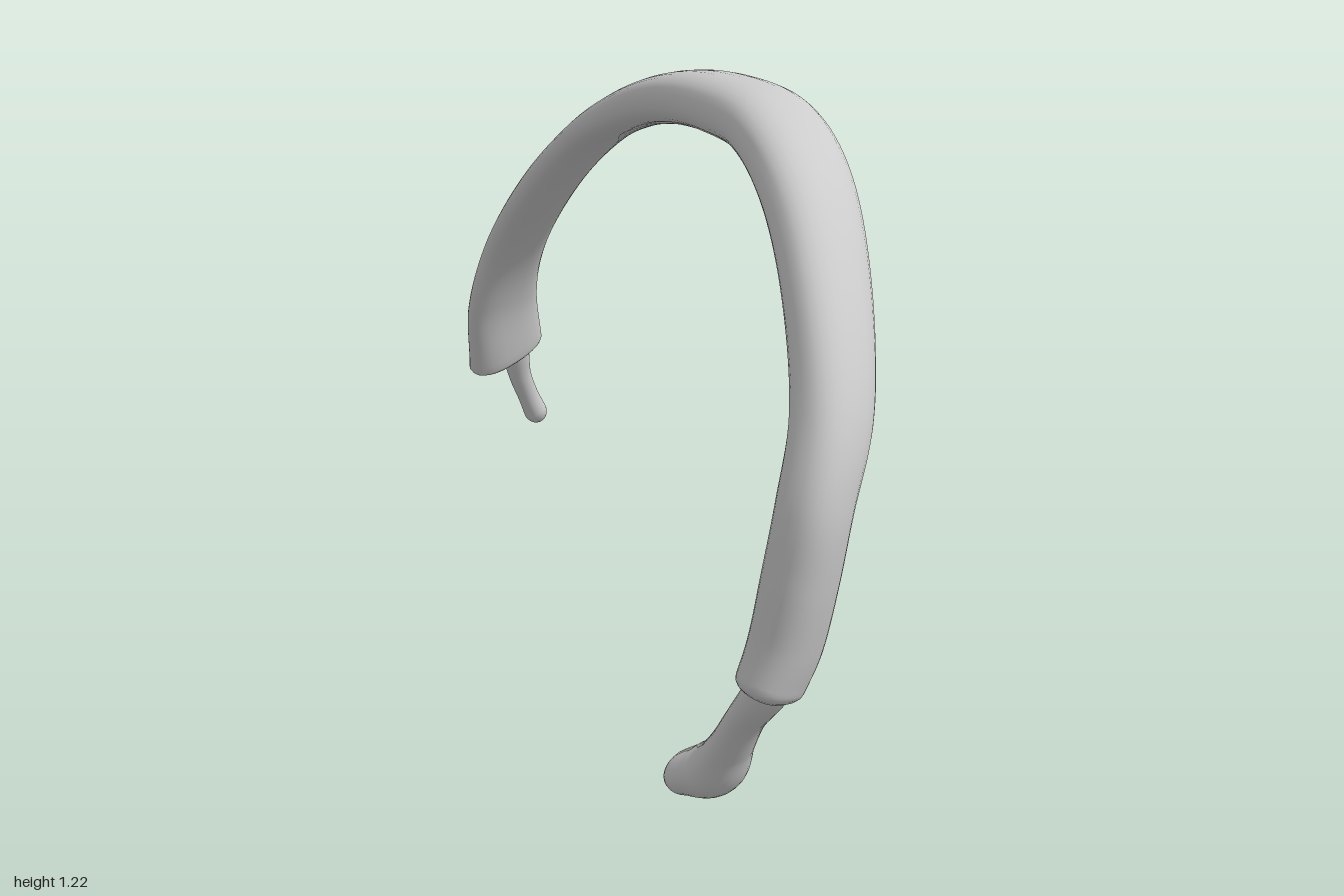
import * as THREE from 'three';

// Sweep a soft oval along stations [x, y, z, half thickness, half width].
// Thickness lies in the xy plane, width runs across the band; both ends are rounded.
function sweep(name, stations, material, { power = 1, cap = 0.03, steps = 80, sides = 28 } = {}) {
  const path = new THREE.CatmullRomCurve3(
    stations.map(([x, y, z]) => new THREE.Vector3(x, y, z)), false, 'centripetal');
  const size = new THREE.CatmullRomCurve3(
    stations.map((s) => new THREE.Vector3(s[3], s[4], 0)), false, 'catmullrom', 0.5);

  // Ring list: parameter, shift along the tangent and scale
  const rings = [];
  const capSteps = 6;
  for (let i = 0; i < capSteps; i++) {
    const a = (1 - i / capSteps) * Math.PI / 2;
    rings.push([0, -cap * Math.sin(a), Math.cos(a)]);
  }
  for (let i = 0; i <= steps; i++) rings.push([i / steps, 0, 1]);
  for (let i = 1; i <= capSteps; i++) {
    const a = (i / capSteps) * Math.PI / 2;
    rings.push([1, cap * Math.sin(a), Math.cos(a)]);
  }

  const positions = [];
  const index = [];
  const soft = (v) => Math.sign(v) * Math.abs(v) ** power;
  rings.forEach(([t, shift, scale], r) => {
    const tangent = path.getTangent(t);
    const normal = new THREE.Vector3(-tangent.y, tangent.x, 0).normalize();
    const across = new THREE.Vector3().crossVectors(tangent, normal);
    const centre = path.getPoint(t).addScaledVector(tangent, shift);
    const s = size.getPoint(t);
    for (let j = 0; j < sides; j++) {
      const a = (j / sides) * Math.PI * 2;
      const p = centre.clone()
        .addScaledVector(normal, s.x * scale * soft(Math.cos(a)))
        .addScaledVector(across, s.y * scale * soft(Math.sin(a)));
      positions.push(p.x, p.y, p.z);
      if (r === rings.length - 1) continue;
      const k = (j + 1) % sides;
      const [a0, a1, b0, b1] = [r * sides + j, r * sides + k, (r + 1) * sides + j, (r + 1) * sides + k];
      index.push(a0, a1, b1, a0, b1, b0);
    }
  });

  const geometry = new THREE.BufferGeometry();
  geometry.setAttribute('position', new THREE.Float32BufferAttribute(positions, 3));
  geometry.setIndex(index);
  geometry.computeVertexNormals();
  const mesh = new THREE.Mesh(geometry, material);
  mesh.name = name;
  return mesh;
}

export function createModel() {
  const group = new THREE.Group();
  group.name = 'curvedBand';
  const material = new THREE.MeshStandardMaterial({ color: 0xcccccc });

  // Main arch, wide and flat at the back end, rounder at the front end
  group.add(sweep('arch', [
    [-0.897, 0.395, -0.515, 0.047, 0.112],
    [-0.84, 0.55, -0.45, 0.038, 0.105],
    [-0.75, 0.70, -0.405, 0.04, 0.092],
    [-0.55, 0.89, -0.325, 0.04, 0.086],
    [-0.35, 1.025, -0.257, 0.04, 0.085],
    [-0.15, 1.105, -0.165, 0.046, 0.078],
    [0.10, 1.16, -0.033, 0.053, 0.085],
    [0.30, 1.17, 0.068, 0.058, 0.09],
    [0.50, 1.152, 0.185, 0.06, 0.095],
    [0.68, 1.07, 0.32, 0.062, 0.092],
    [0.82, 0.92, 0.445, 0.06, 0.083],
    [0.91, 0.75, 0.55, 0.06, 0.073],
    [0.93, 0.62, 0.617, 0.06, 0.064],
    [0.918, 0.50, 0.636, 0.06, 0.065],
    [0.895, 0.38, 0.645, 0.056, 0.068],
    [0.878, 0.315, 0.66, 0.052, 0.066],
  ], material, { power: 0.85, cap: 0.03, steps: 150 }));

  // Slim peg below the wide back end
  group.add(sweep('backPeg', [
    [-0.925, 0.45, -0.575, 0.025, 0.035],
    [-0.948, 0.37, -0.602, 0.033, 0.036],
    [-0.96, 0.30, -0.63, 0.027, 0.03],
    [-0.967, 0.24, -0.665, 0.025, 0.028],
    [-0.97, 0.19, -0.695, 0.03, 0.03],
  ], material, { cap: 0.035, steps: 40 }));

  // Neck and knob below the front end
  group.add(sweep('frontKnob', [
    [0.885, 0.37, 0.635, 0.04, 0.045],
    [0.845, 0.285, 0.625, 0.037, 0.05],
    [0.785, 0.21, 0.608, 0.031, 0.048],
    [0.735, 0.14, 0.587, 0.036, 0.053],
    [0.685, 0.078, 0.565, 0.05, 0.064],
    [0.63, 0.052, 0.552, 0.042, 0.064],
  ], material, { cap: 0.05, steps: 50 }));

  return group;
}
